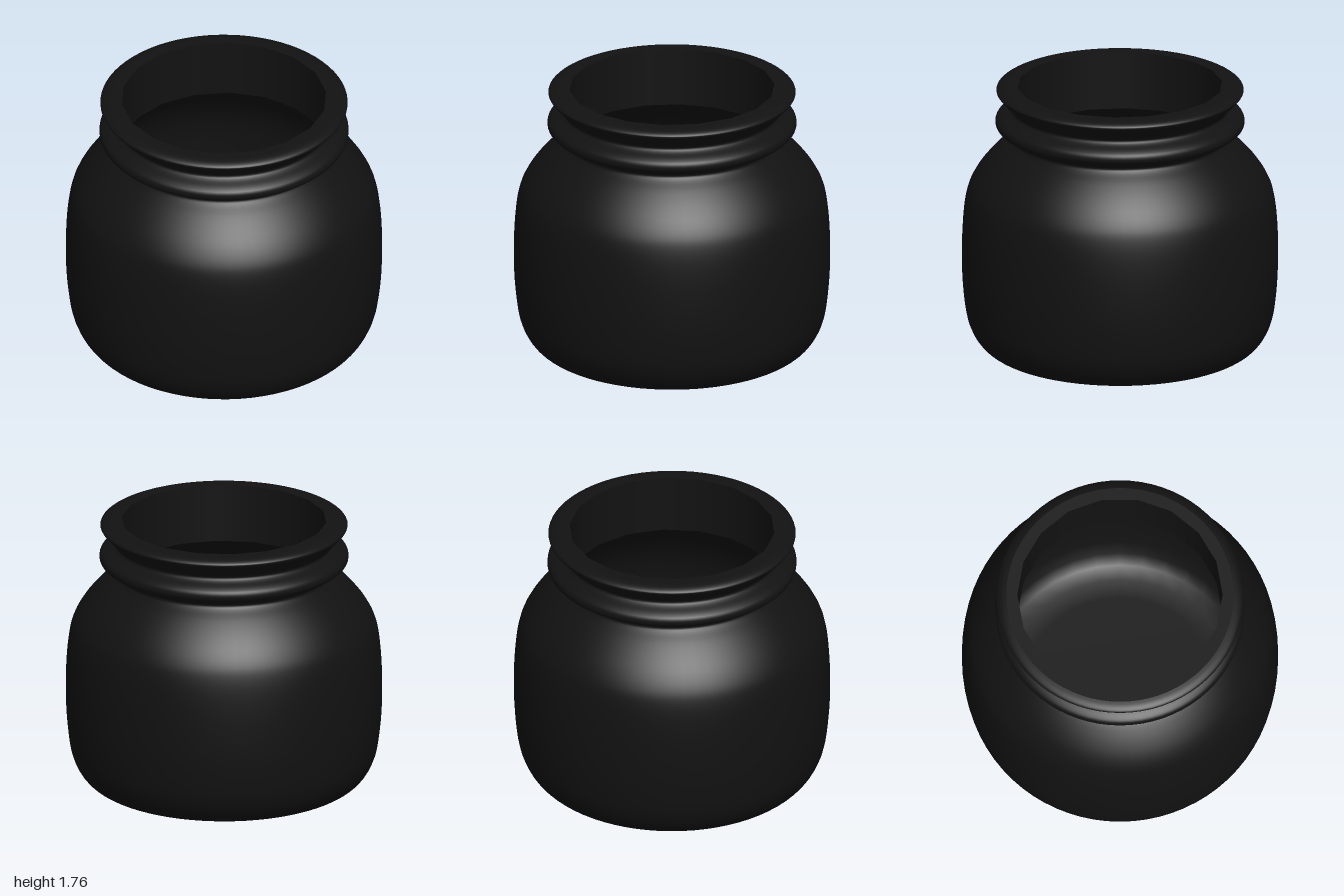
import * as THREE from 'three';

const TOP = 1.765, MOUTH = 0.65, SIDES = 18;
const material = new THREE.MeshStandardMaterial({ color: 0x121212 });

const toVectors = (pairs) => pairs.map(([r, y]) => new THREE.Vector2(r, y));

function addMesh(group, name, geometry) {
  const mesh = new THREE.Mesh(geometry, material);
  mesh.name = name;
  group.add(mesh);
  return mesh;
}

export function createModel() {
  const jar = new THREE.Group();
  jar.name = 'jar';

  // Rounded body, shoulder, neck bead and flared lip in one smooth profile
  const outer = new THREE.SplineCurve(toVectors([
    [0.6, 0], [0.7, 0.005], [0.79, 0.02], [0.85, 0.045], [0.9, 0.09], [0.94, 0.155],
    [0.97, 0.245], [0.99, 0.39], [1, 0.55], [1, 0.75], [0.99, 0.92], [0.972, 1.04],
    [0.945, 1.12], [0.895, 1.205], [0.83, 1.285], [0.76, 1.355], [0.7, 1.405],
    [0.685, 1.43], [0.7, 1.45], [0.75, 1.475], [0.785, 1.505], [0.785, 1.545],
    [0.755, 1.572], [0.705, 1.597], [0.688, 1.62], [0.715, 1.655], [0.755, 1.695],
    [0.782, 1.728], [0.775, 1.745], [0.75, 1.758], [0.72, TOP],
  ])).getPoints(110);
  addMesh(jar, 'outerWall', new THREE.LatheGeometry([new THREE.Vector2(0, 0), ...outer], 72));

  // Flat rim between the round lip and the many-sided mouth
  const rim = new THREE.Shape().absarc(0, 0, 0.72, 0, Math.PI * 2, false);
  const mouth = [];
  for (let i = 0; i < SIDES; i++) {
    const a = ((i + 0.5) / SIDES) * Math.PI * 2;
    mouth.push(new THREE.Vector2(Math.sin(a) * MOUTH, Math.cos(a) * MOUTH));
  }
  rim.holes.push(new THREE.Path(mouth));
  addMesh(jar, 'rim', new THREE.ShapeGeometry(rim, 36).rotateX(-Math.PI / 2).translate(0, TOP, 0));

  // Straight inside of the neck
  addMesh(jar, 'neckInside', new THREE.LatheGeometry(
    toVectors([[MOUTH, TOP], [MOUTH, 1.39]]), SIDES, Math.PI / SIDES));

  // Hollow inside of the body, widening below the neck, down to the floor
  addMesh(jar, 'bodyInside', new THREE.LatheGeometry(toVectors([
    [MOUTH, 1.39], [0.71, 1.33], [0.78, 1.26], [0.84, 1.18], [0.89, 1.09], [0.92, 1],
    [0.94, 0.88], [0.945, 0.65], [0.935, 0.4], [0.91, 0.25], [0.87, 0.15], [0.81, 0.09],
    [0.72, 0.065], [0.6, 0.06], [0, 0.06],
  ]), SIDES * 2, Math.PI / SIDES));

  return jar;
}
